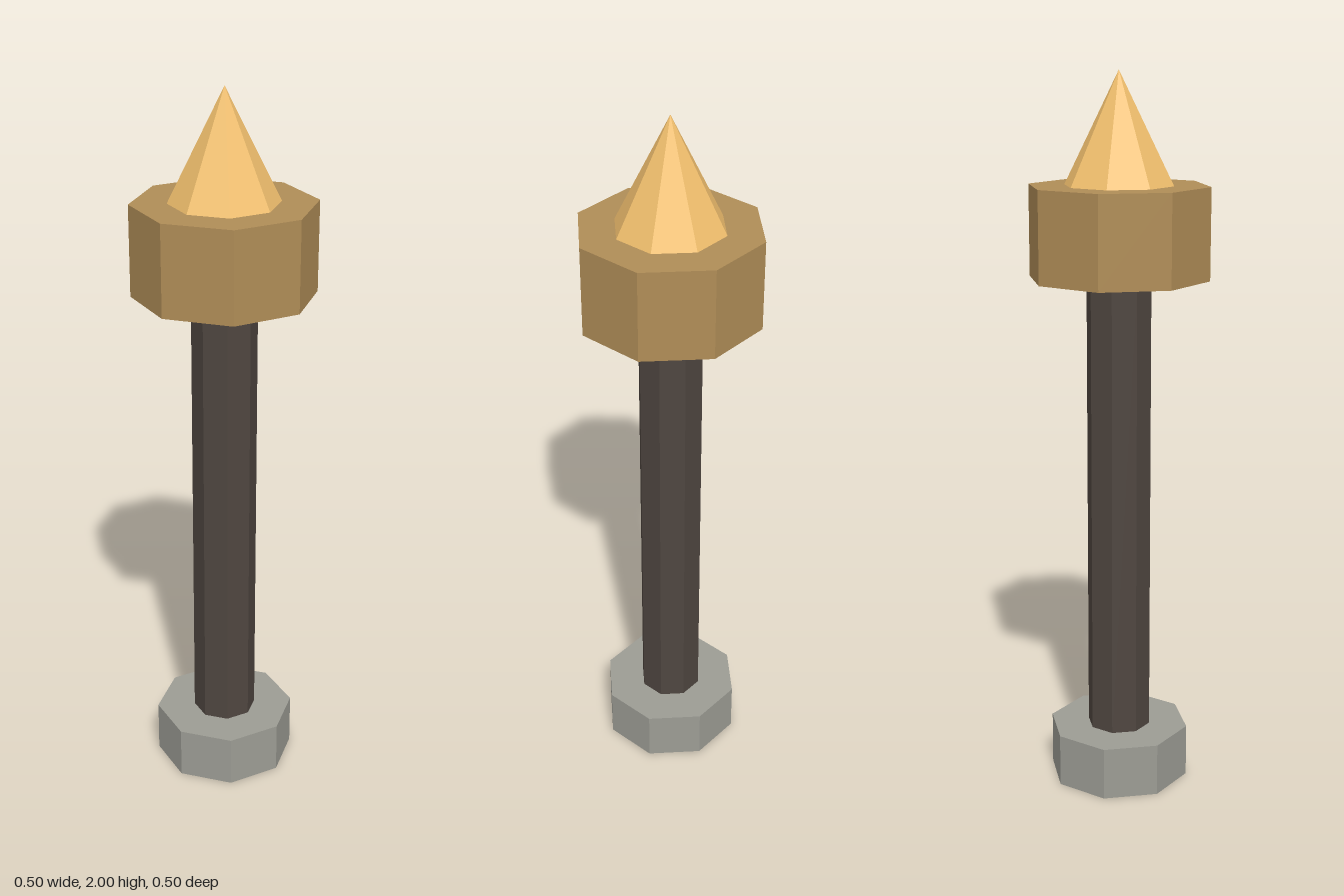
import * as THREE from 'three';

const SIDES = 8;

// Eight-sided prism or cone standing between two heights
function octagonal(name, bottomRadius, topRadius, y0, y1, color) {
  const geometry = topRadius > 0
    ? new THREE.CylinderGeometry(topRadius, bottomRadius, y1 - y0, SIDES)
    : new THREE.ConeGeometry(bottomRadius, y1 - y0, SIDES);
  const material = new THREE.MeshStandardMaterial({ color, flatShading: true });
  const mesh = new THREE.Mesh(geometry, material);
  mesh.name = name;
  mesh.position.y = (y0 + y1) / 2;
  return mesh;
}

export function createModel() {
  const group = new THREE.Group();
  group.name = 'torchPost';
  group.add(
    // Stone foot
    octagonal('base', 0.2, 0.2, 0, 0.15, 0x9c9c94),
    // Slim dark shaft
    octagonal('post', 0.09, 0.09, 0.15, 1.45, 0x4f4640),
    // Wide bronze bowl
    octagonal('bowl', 0.25, 0.25, 1.45, 1.7, 0xb08d57),
    // Pointed flame
    octagonal('flame', 0.15, 0, 1.7, 2, 0xf2c06e),
  );
  return group;
}
